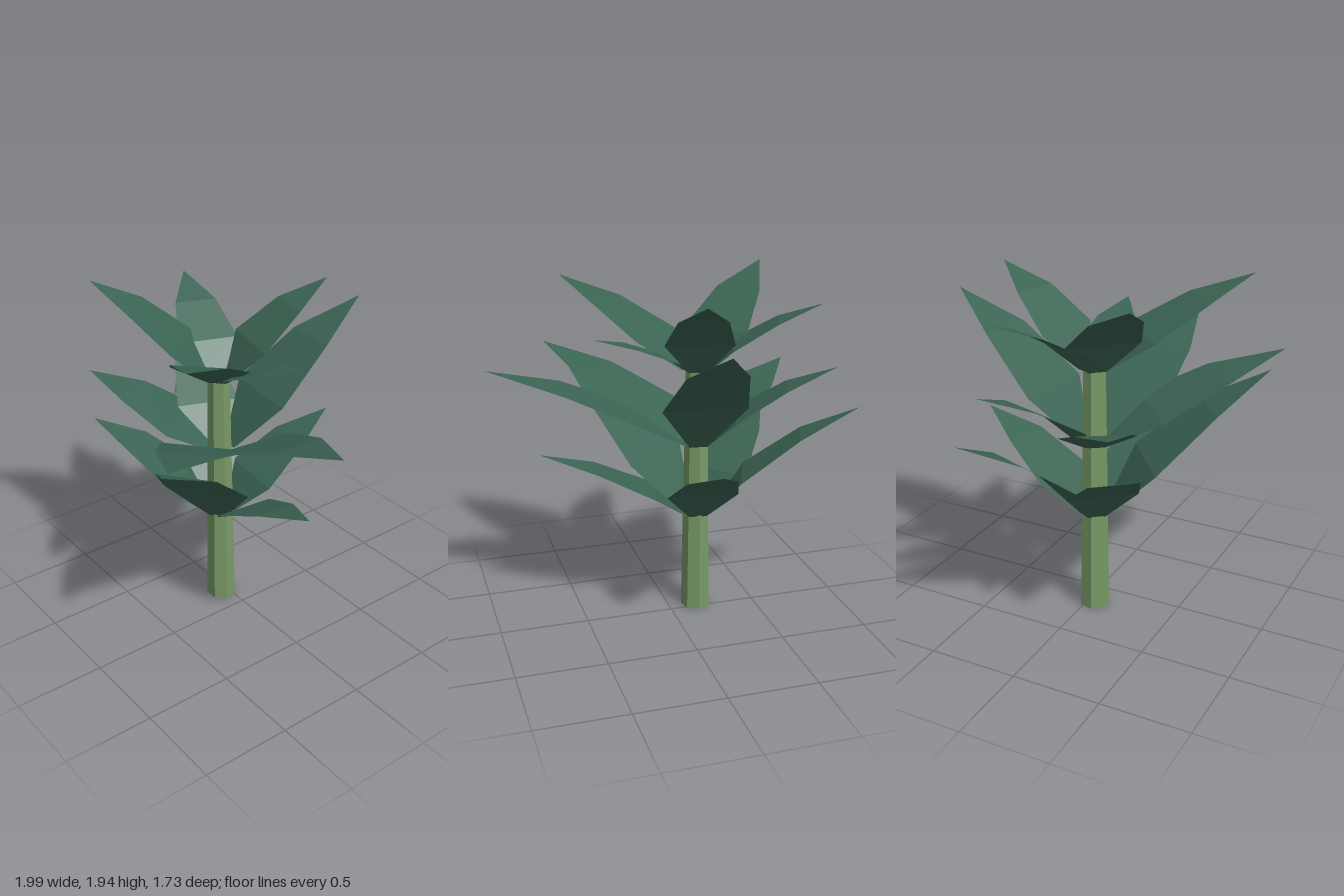
import * as THREE from 'three';

const STEM = { x: -0.16, z: 0.04 };

// Leaf tips as [x, y, z, half width], five per tier
const TIERS = [
  { name: 'lowerLeaf', y: 0.58, tips: [
    [-0.07, 1.06, -0.68, 0.2], [0.72, 0.99, 0.13, 0.17], [0.44, 1.36, 0.82, 0.24],
    [-0.73, 1.1, 0.51, 0.2], [-1.0, 1.24, -0.29, 0.18]] },
  { name: 'middleLeaf', y: 1.0, tips: [
    [-0.04, 1.73, -0.87, 0.235], [0.99, 1.48, 0.17, 0.24], [0.55, 1.455, 0.86, 0.25],
    [-0.83, 1.35, 0.46, 0.21], [-0.88, 1.46, -0.23, 0.18]] },
  { name: 'upperLeaf', y: 1.43, tips: [
    [-0.01, 1.91, -0.59, 0.19], [0.44, 1.66, -0.05, 0.155], [0.47, 1.88, 0.69, 0.21],
    [-0.69, 1.94, 0.5, 0.2], [-0.8, 1.81, -0.19, 0.17]] },
];

// Flat blade bent at two cross rows: it rises steeply, then levels off to a point
function leafGeometry(baseY, [tx, ty, tz, half]) {
  const dx = tx - STEM.x, dz = tz - STEM.z, reach = Math.hypot(dx, dz);
  const ux = dx / reach, uz = dz / reach;
  const rows = [ // distance out, rise, half width
    [0.065, 0, 0.05],
    [0.29 * reach, 0.38, half],
    [0.645 * reach, 0.75, half * 0.69],
    [reach, 1, 0],
  ];
  const points = [], faces = [];
  rows.forEach(([out, rise, w], i) => {
    for (const side of [-1, 1]) {
      points.push(
        STEM.x + ux * out + side * w * uz,
        baseY + (ty - baseY) * rise,
        STEM.z + uz * out - side * w * ux);
    }
    if (i < rows.length - 1) {
      const a = i * 2;
      faces.push(a, a + 2, a + 1);
      if (i < rows.length - 2) faces.push(a + 1, a + 2, a + 3);
    }
  });
  const geometry = new THREE.BufferGeometry();
  geometry.setAttribute('position', new THREE.Float32BufferAttribute(points, 3));
  geometry.setIndex(faces);
  const flat = geometry.toNonIndexed();
  flat.computeVertexNormals();
  return flat;
}

export function createModel() {
  const group = new THREE.Group();
  group.name = 'plant';

  const stemGreen = new THREE.MeshStandardMaterial({ color: 0x789a66, flatShading: true });
  stemGreen.name = 'stemGreen';
  const leafGreen = new THREE.MeshStandardMaterial({
    color: 0x3b6453, flatShading: true, side: THREE.DoubleSide });
  leafGreen.name = 'leafGreen';

  // Tapered seven-sided stem
  const stem = new THREE.Mesh(
    new THREE.CylinderGeometry(0.062, 0.085, 1.46, 7, 1, false, Math.PI), stemGreen);
  stem.position.set(STEM.x, 0.73, STEM.z);
  stem.name = 'stem';
  group.add(stem);

  // Three whorls of five leaves
  for (const tier of TIERS) {
    tier.tips.forEach((tip, i) => {
      const leaf = new THREE.Mesh(leafGeometry(tier.y, tip), leafGreen);
      leaf.name = `${tier.name}${i + 1}`;
      group.add(leaf);
    });
  }
  return group;
}
